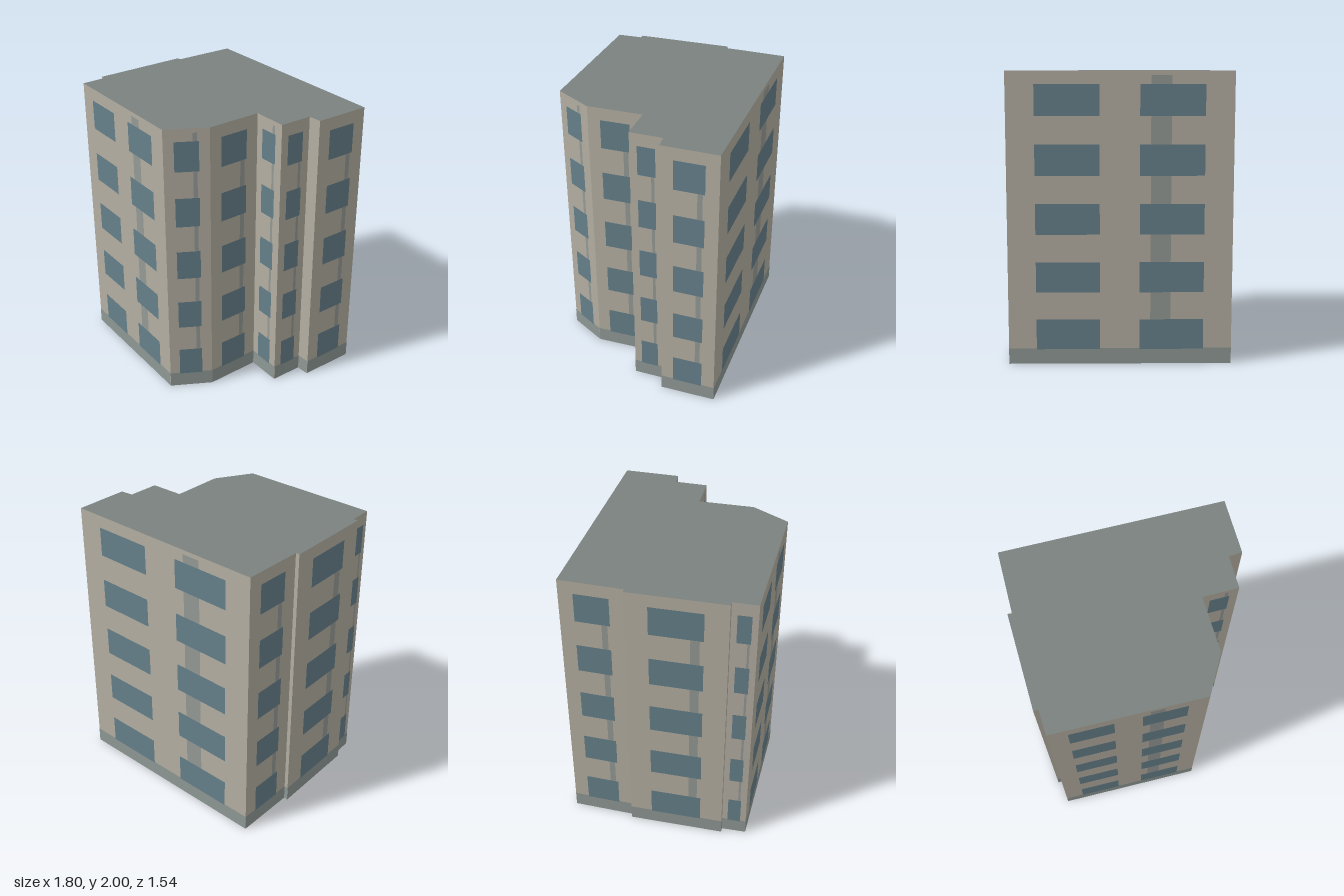
import * as THREE from 'three';

const HEIGHT = 2;
const PLINTH = 0.11;
const FLOORS = 5;

// Footprint corners [x, z], running left to right as seen from outside
const FOOTPRINT = [
  [-0.9, 0.457], [0.08, 0.766], [0.295, 0.557], [0.397, 0.184], [0.634, 0.254],
  [0.7, 0.034], [0.79, 0.055], [0.9, -0.32], [-0.56, -0.77], [-0.688, -0.35],
  [-0.715, -0.36], [-0.89, 0.283], [-0.858, 0.292],
];

const paint = (color, side = THREE.FrontSide) =>
  new THREE.MeshStandardMaterial({ color, side, roughness: 0.9 });

export function createModel() {
  const building = new THREE.Group();
  building.name = 'apartmentBlock';

  const wallMat = paint(0xb5afa2, THREE.DoubleSide);
  const roofMat = paint(0x7a827f, THREE.DoubleSide);
  const plinthMat = paint(0x8f9895);
  const windowMat = paint(0x66808a);
  const stripeMat = paint(0x959a96);

  // Upright rectangle in a facade's own plane
  function panel(facade, name, x0, x1, y0, y1, depth, material) {
    const mesh = new THREE.Mesh(new THREE.PlaneGeometry(x1 - x0, y1 - y0), material);
    mesh.position.set((x0 + x1) / 2, (y0 + y1) / 2, depth);
    mesh.name = name;
    facade.add(mesh);
  }

  FOOTPRINT.forEach(([ax, az], i) => {
    const [bx, bz] = FOOTPRINT[(i + 1) % FOOTPRINT.length];
    const dx = bx - ax, dz = bz - az;
    const width = Math.hypot(dx, dz);

    const facade = new THREE.Group();
    facade.name = `facade${i + 1}`;
    facade.position.set(ax, 0, az);
    facade.rotation.y = Math.atan2(-dz, dx);
    building.add(facade);

    panel(facade, 'wall', 0, width, 0, HEIGHT, 0, wallMat);
    panel(facade, 'plinth', 0, width, 0, PLINTH, 0.002, plinthMat);
    if (width < 0.12) return; // narrow returns stay blank

    // Faded vertical stripe; it stops at the top window on the side walls
    const sideWall = Math.abs(dz) > 1.2 * Math.abs(dx);
    panel(facade, 'stripe', width * 0.635, width * 0.725, PLINTH,
      sideWall ? 1.7 : 1.97, 0.001, stripeMat);

    // Two window columns on the long walls, one elsewhere
    const columns = width > 0.8 ? [[0.125, 0.41], [0.587, 0.873]] : [[0.23, 0.765]];
    for (let floor = 0; floor < FLOORS; floor++) {
      const sill = 0.103 + floor * 0.4;
      for (const [u0, u1] of columns) {
        panel(facade, 'window', width * u0, width * u1, sill, sill + 0.21, 0.003, windowMat);
      }
    }
  });

  // Flat roof over the whole footprint; the underside of the block is open
  const outline = new THREE.Shape(FOOTPRINT.map(([x, z]) => new THREE.Vector2(x, -z)));
  const roof = new THREE.Mesh(new THREE.ShapeGeometry(outline).rotateX(-Math.PI / 2), roofMat);
  roof.position.y = HEIGHT;
  roof.name = 'roof';
  building.add(roof);

  return building;
}
